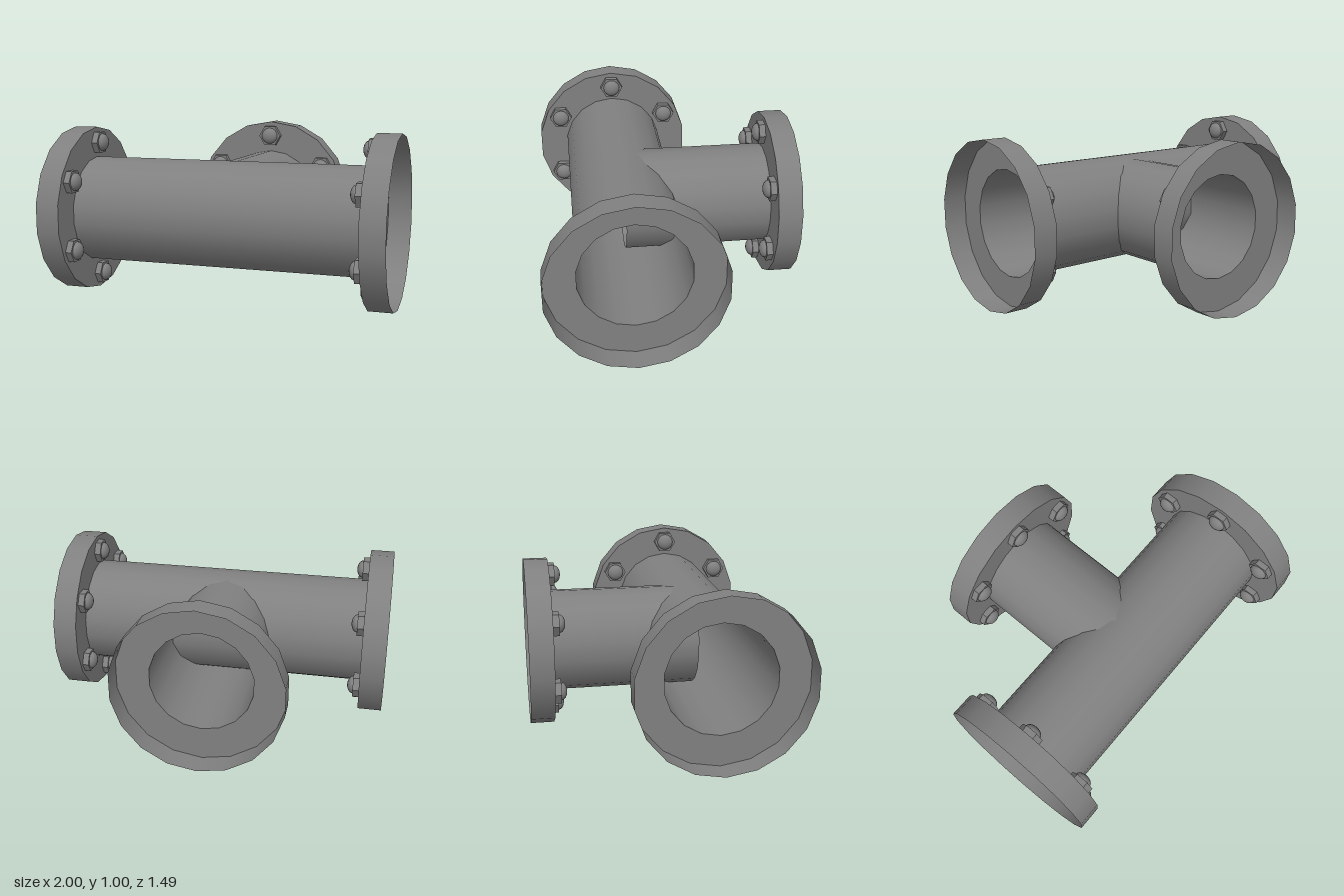
import * as THREE from 'three';

const SIDES = 18;
const FLANGE_R = 0.498;
const ARM = 1; // distance from the pipe crossing to each flange rim
const INNER = 0.859; // distance from the crossing to each flange plate
const MAIN_R = 0.317;
const BRANCH_R = 0.302;

const material = new THREE.MeshStandardMaterial({ color: 0x808080, side: THREE.DoubleSide });

function part(name, geometry) {
  const mesh = new THREE.Mesh(geometry, material);
  mesh.name = name;
  return mesh;
}

// Polygon with one corner straight up
function polygon(radius) {
  return Array.from({ length: SIDES }, (_, i) => {
    const a = (i / SIDES) * Math.PI * 2;
    return new THREE.Vector2(Math.sin(a) * radius, Math.cos(a) * radius);
  });
}

// Open tube along z between z0 and z1
function tube(name, radius, z0, z1) {
  const g = new THREE.CylinderGeometry(radius, radius, z1 - z0, SIDES, 1, true);
  g.rotateX(Math.PI / 2).translate(0, 0, (z0 + z1) / 2);
  return part(name, g);
}

// Hex nut with a rounded bolt end, pointing along -z from the flange
function makeBolt() {
  const bolt = new THREE.Group();
  bolt.name = 'bolt';
  const nut = new THREE.CylinderGeometry(0.072, 0.072, 0.037, 6).toNonIndexed();
  nut.computeVertexNormals();
  nut.rotateY(Math.PI / 2).rotateX(Math.PI / 2).translate(0, 0, -0.0185);
  const dome = new THREE.SphereGeometry(0.053, 16, 6, 0, Math.PI * 2, 0, Math.PI / 2);
  dome.scale(1, 0.66, 1).rotateX(-Math.PI / 2).translate(0, 0, -0.037);
  bolt.add(part('nut', nut), part('boltEnd', dome));
  return bolt;
}

// Hollow flange: a thin plate with a hole, an open rim towards +z, six bolts behind
function makeFlange(name, holeRadius) {
  const flange = new THREE.Group();
  flange.name = name;
  const shape = new THREE.Shape(polygon(FLANGE_R));
  shape.holes.push(new THREE.Path(polygon(holeRadius)));
  const plate = part('flangePlate', new THREE.ShapeGeometry(shape));
  plate.position.z = INNER;
  flange.add(plate, tube('flangeRim', FLANGE_R, INNER, ARM));
  for (let i = 0; i < 6; i++) {
    const a = (i / 6) * Math.PI * 2;
    const bolt = makeBolt();
    bolt.position.set(Math.sin(a) * 0.405, Math.cos(a) * 0.405, INNER);
    flange.add(bolt);
  }
  return flange;
}

export function createModel() {
  const model = new THREE.Group();
  model.name = 'pipeFitting';
  const body = new THREE.Group();
  body.name = 'pipeTee';

  // Straight run along x with a flange at each end
  const run = tube('mainPipe', MAIN_R, -INNER, INNER);
  run.rotation.y = Math.PI / 2;
  const leftFlange = makeFlange('leftFlange', MAIN_R);
  leftFlange.rotation.y = Math.PI / 2;
  const rightFlange = makeFlange('rightFlange', MAIN_R);
  rightFlange.rotation.y = -Math.PI / 2;

  // Branch to the rear, starting at the axis of the main pipe
  const branch = new THREE.Group();
  branch.name = 'branch';
  branch.add(tube('branchPipe', BRANCH_R, 0, INNER), makeFlange('branchFlange', BRANCH_R));
  branch.rotation.y = Math.PI;

  body.add(run, leftFlange, rightFlange, branch);
  body.position.set(0, FLANGE_R, 0.255);
  model.add(body);
  return model;
}
